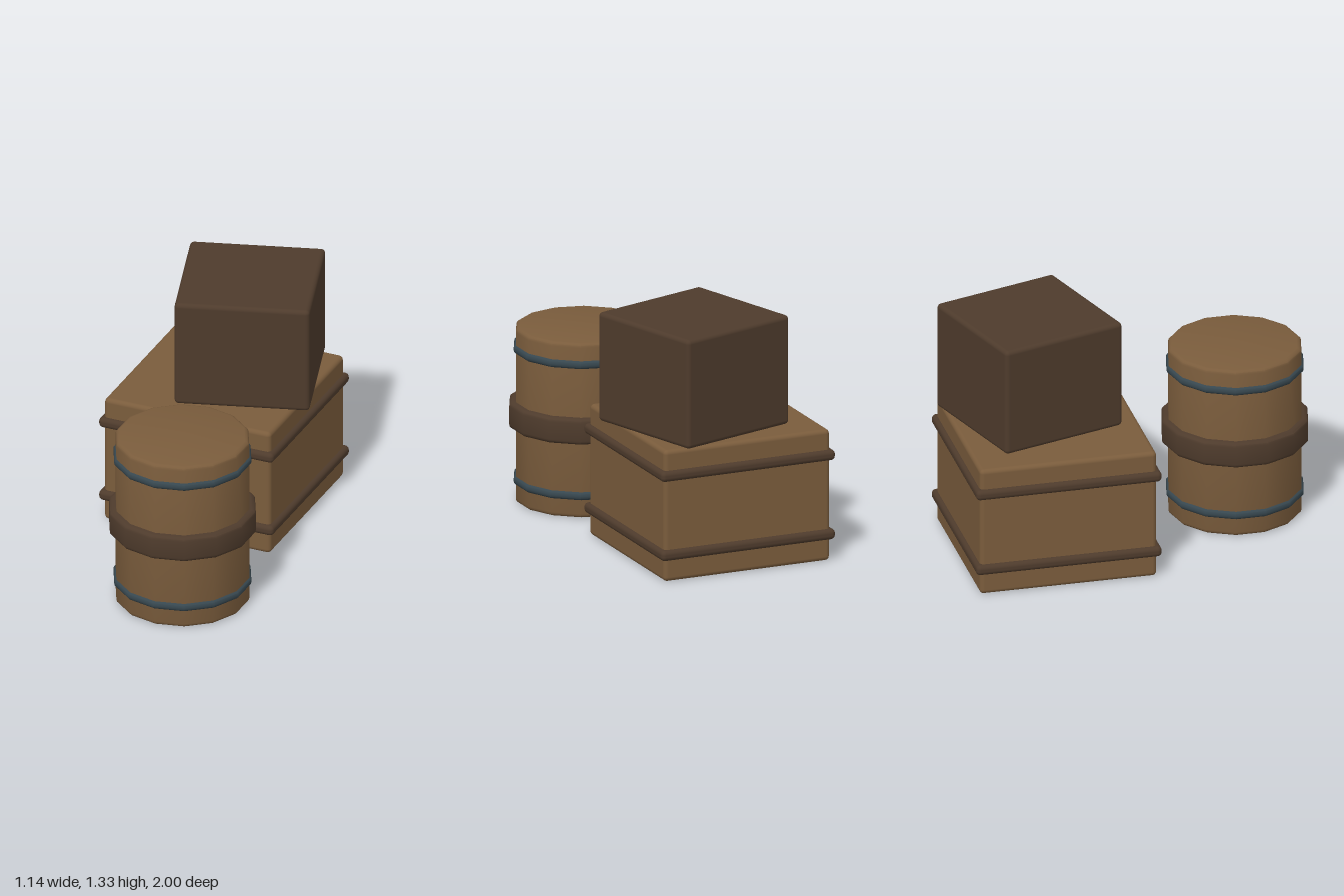
import * as THREE from 'three';
import { RoundedBoxGeometry } from 'three/addons/geometries/RoundedBoxGeometry.js';
import { toCreasedNormals } from 'three/addons/utils/BufferGeometryUtils.js';

const SIDES = 14;

function material(name, color) {
  const m = new THREE.MeshStandardMaterial({ color });
  m.name = name;
  return m;
}

function add(parent, name, geometry, mat, x, y, z) {
  const mesh = new THREE.Mesh(geometry, mat);
  mesh.name = name;
  mesh.position.set(x, y, z);
  parent.add(mesh);
  return mesh;
}

// Solid turned drum with rounded rims, centred on its own height
function drum(radius, height, bevel) {
  const h = height / 2;
  const points = [new THREE.Vector2(0, -h)];
  const corner = (sign) => {
    for (let i = 0; i <= 3; i++) {
      const a = ((sign < 0 ? i : 3 - i) / 3) * Math.PI / 2;
      points.push(new THREE.Vector2(
        radius - bevel + bevel * Math.sin(a),
        sign * (h - bevel + bevel * Math.cos(a))));
    }
  };
  corner(-1);
  corner(1);
  points.push(new THREE.Vector2(0, h));
  return toCreasedNormals(new THREE.LatheGeometry(points, SIDES), 0.6);
}

export function createModel() {
  const wood = material('brown wood', 0x7a5c3c);
  const darkWood = material('dark wood', 0x4e3b2c);
  const steel = material('blue grey steel', 0x37474f);
  const model = new THREE.Group();
  model.name = 'storagePile';

  // Large crate with two wooden bands
  const crate = new THREE.Group();
  crate.name = 'largeCrate';
  crate.position.set(-0.065, 0, -0.488);
  model.add(crate);
  add(crate, 'crateBody', new RoundedBoxGeometry(0.967, 0.727, 0.967, 3, 0.024), wood, 0, 0.3635, 0);
  for (const y of [0.148, 0.587]) {
    add(crate, 'crateBand', new RoundedBoxGeometry(1.015, 0.058, 1.015, 3, 0.024), darkWood, 0, y, 0);
  }

  // Small crate, turned on top of the large one
  const box = add(model, 'smallCrate', new RoundedBoxGeometry(0.724, 0.604, 0.724, 3, 0.024), darkWood, 0.057, 1.029, -0.552);
  box.rotation.y = 0.3;

  // Barrel with a wide middle band and two steel hoops
  const barrel = new THREE.Group();
  barrel.name = 'barrel';
  barrel.position.set(0.18, 0, 0.602);
  model.add(barrel);
  add(barrel, 'barrelBody', drum(0.362, 0.968, 0.024), wood, 0, 0.484, 0);
  add(barrel, 'middleBand', drum(0.398, 0.145, 0.024), darkWood, 0, 0.486, 0);
  for (const y of [0.123, 0.85]) {
    add(barrel, 'steelHoop', drum(0.374, 0.05, 0.024), steel, 0, y, 0);
  }
  return model;
}
